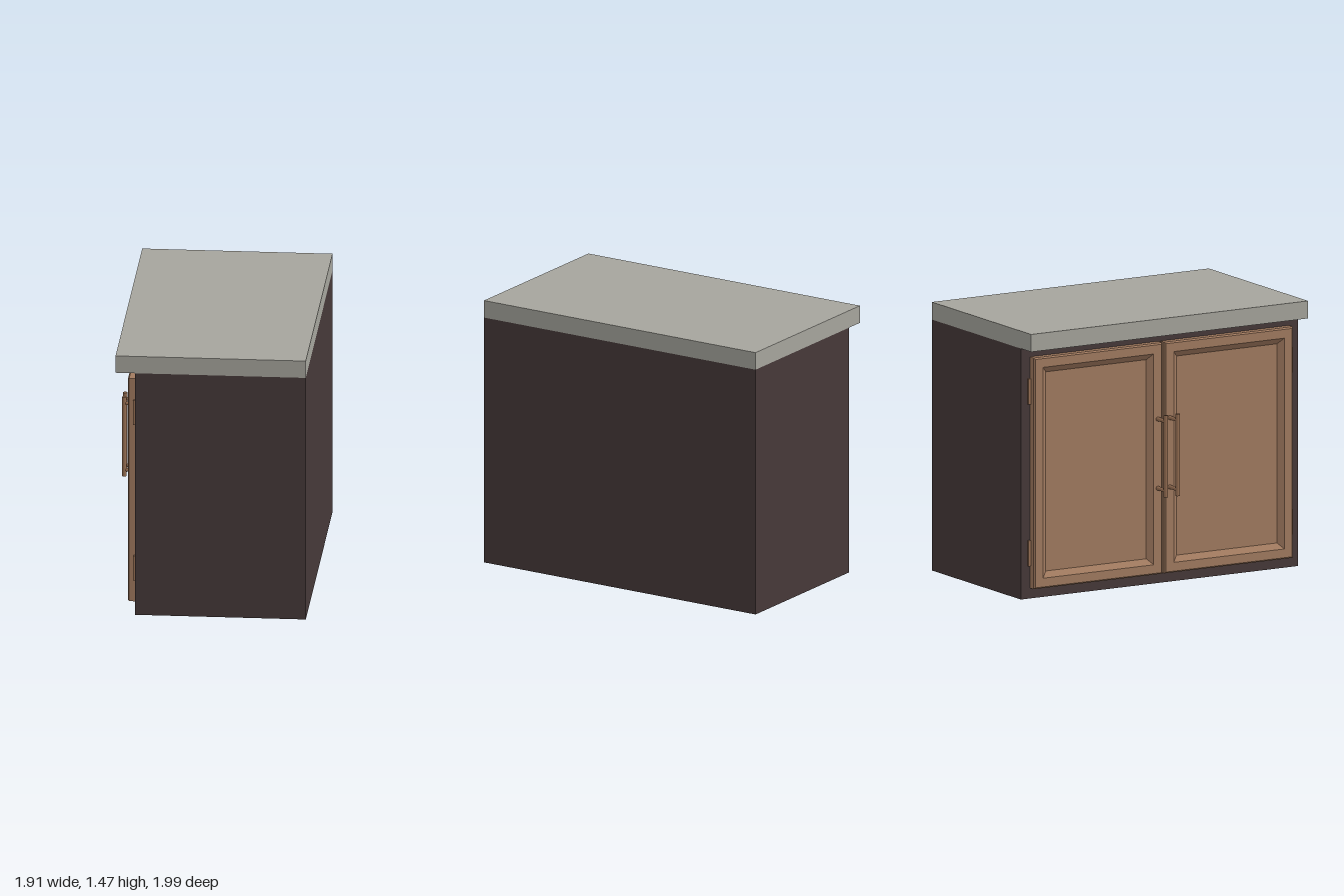
import * as THREE from 'three';

const W = 1.743, D = 1.026, BODY_D = 0.92, BODY_H = 1.376, TOP_H = 0.096;
const FRONT = -D / 2 + BODY_D; // plane of the cabinet front

const stone = new THREE.MeshStandardMaterial({ color: 0xa6a59d });
stone.name = 'greyStone';
const darkWood = new THREE.MeshStandardMaterial({ color: 0x463939 });
darkWood.name = 'darkWood';
const brownWood = new THREE.MeshStandardMaterial({ color: 0xa27b60 });
brownWood.name = 'brownWood';
const bronze = new THREE.MeshStandardMaterial({ color: 0x987054 });
bronze.name = 'bronze';

function add(parent, name, geometry, material, x, y, z) {
  const mesh = new THREE.Mesh(geometry, material);
  mesh.name = name;
  mesh.position.set(x, y, z);
  parent.add(mesh);
  return mesh;
}

// Door from nested rectangles, each given as [inset, z], closed by a flat panel
function doorGeometry(w, h) {
  const steps = [[0, 0], [0, 0.037], [0.008, 0.045], [0.056, 0.045], [0.088, 0.02]];
  const rings = steps.map(([i, z]) => {
    const x = w / 2 - i, y = h / 2 - i;
    return [[-x, -y, z], [x, -y, z], [x, y, z], [-x, y, z]];
  });
  const pos = [];
  const quad = (a, b, c, d) => pos.push(...a, ...b, ...c, ...a, ...c, ...d);
  for (let r = 0; r < rings.length - 1; r++) {
    for (let k = 0; k < 4; k++) {
      const n = (k + 1) % 4;
      quad(rings[r][k], rings[r][n], rings[r + 1][n], rings[r + 1][k]);
    }
  }
  quad(...rings[rings.length - 1]);
  quad(...[...rings[0]].reverse());
  const g = new THREE.BufferGeometry();
  g.setAttribute('position', new THREE.Float32BufferAttribute(pos, 3));
  g.computeVertexNormals();
  return g;
}

// Bar pull on two posts
function createHandle() {
  const handle = new THREE.Group();
  handle.name = 'handle';
  add(handle, 'handleBar', new THREE.CylinderGeometry(0.012, 0.012, 0.45, 16), bronze, 0, 0, 0.083);
  for (const s of [-1, 1]) {
    const post = add(handle, 'handlePost', new THREE.CylinderGeometry(0.009, 0.012, 0.083, 12), bronze, 0, s * 0.19, 0.0415);
    post.rotation.x = Math.PI / 2;
  }
  return handle;
}

export function createModel() {
  const model = new THREE.Group();
  model.name = 'cabinet';

  // Body and overhanging worktop, flush at the back and sides
  add(model, 'body', new THREE.BoxGeometry(W, BODY_H, BODY_D), darkWood, 0, BODY_H / 2, FRONT - BODY_D / 2);
  add(model, 'worktop', new THREE.BoxGeometry(W, TOP_H, D), stone, 0, BODY_H + TOP_H / 2, 0);

  // Mirrored doors with handles and hinges
  const bottom = 0.057, top = 1.325, gap = 0.007, outer = W / 2 - 0.056;
  const doorW = outer - gap, doorH = top - bottom;
  for (const s of [-1, 1]) {
    add(model, 'door', doorGeometry(doorW, doorH), brownWood, s * (gap + doorW / 2), (top + bottom) / 2, FRONT);
    const handle = createHandle();
    handle.position.set(s * 0.037, 0.72, FRONT + 0.045);
    model.add(handle);
    for (const y of [0.25, 1.137]) {
      add(model, 'hinge', new THREE.BoxGeometry(0.016, 0.14, 0.014), bronze, s * (outer + 0.008), y, FRONT + 0.007);
    }
  }

  // The cabinet stands turned on its base
  model.rotation.y = THREE.MathUtils.degToRad(-130);
  const group = new THREE.Group();
  group.name = 'model';
  group.add(model);
  return group;
}
